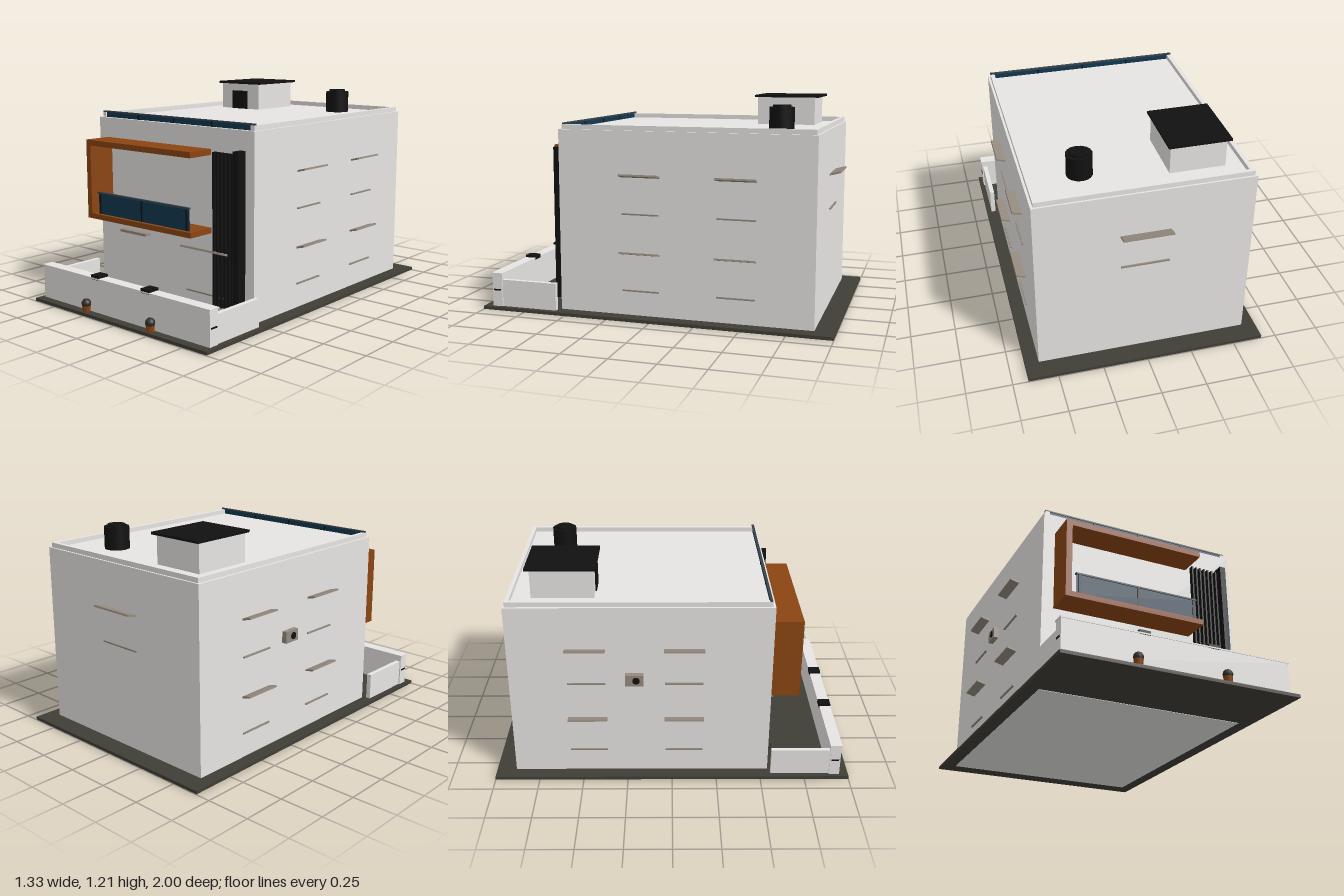
import * as THREE from 'three';

const mat = (name, color) => {
  const m = new THREE.MeshStandardMaterial({ color });
  m.name = name;
  return m;
};

export function createModel() {
  const wall = mat('wall plaster', 0xe6e5e3);
  const ground = mat('dark paving', 0x3f3e36);
  const wood = mat('wood', 0x8b4513);
  const black = mat('black metal', 0x111111);
  const glass = mat('blue glass', 0x12384f);
  const rail = mat('rail grey', 0x38434c);
  const stone = mat('stone trim', 0x958a7e);
  const leaf = mat('leaves', 0x2b2f28);

  const model = new THREE.Group();
  model.name = 'house';

  // Box given by its limits on each axis
  const box = (name, m, x0, x1, y0, y1, z0, z1, parent = model) => {
    const mesh = new THREE.Mesh(new THREE.BoxGeometry(x1 - x0, y1 - y0, z1 - z0), m);
    mesh.position.set((x0 + x1) / 2, (y0 + y1) / 2, (z0 + z1) / 2);
    mesh.name = name;
    parent.add(mesh);
    return mesh;
  };
  const cylinder = (name, m, rTop, rBottom, y0, y1, x, z, sides) => {
    const g = new THREE.CylinderGeometry(rTop, rBottom, y1 - y0, sides);
    const mesh = new THREE.Mesh(g, m);
    mesh.position.set(x, (y0 + y1) / 2, z);
    mesh.name = name;
    model.add(mesh);
  };

  // Plot and main block
  box('plot', ground, -0.665, 0.665, 0.002, 0.02, -1, 1);
  box('mainBlock', wall, -0.588, 0.588, 0, 1.04, -0.89, 0.545);

  // Roof parapet on the back and sides
  for (const s of [-1, 1]) {
    const a = s * 0.55, b = s * 0.575;
    box('sideParapet', wall, Math.min(a, b), Math.max(a, b), 1.04, 1.067, -0.88, 0.53);
  }
  box('backParapet', wall, -0.55, 0.55, 1.04, 1.067, -0.88, -0.858);

  // Roof glass railing along the front edge
  box('roofGlass', glass, -0.55, 0.55, 1.04, 1.068, 0.517, 0.523);
  box('roofRail', rail, -0.575, 0.575, 1.068, 1.076, 0.513, 0.527);
  for (const x of [-0.28, 0, 0.28]) box('roofPost', black, x - 0.005, x + 0.005, 1.04, 1.068, 0.515, 0.527);

  // Stair house on the roof
  box('stairHouse', wall, -0.46, -0.157, 1.04, 1.2, -0.755, -0.415);
  box('stairRoof', black, -0.478, -0.14, 1.2, 1.213, -0.78, -0.4);
  box('stairDoor', black, -0.37, -0.25, 1.04, 1.155, -0.415, -0.407);

  // Water tank
  cylinder('waterTank', black, 0.07, 0.07, 1.04, 1.165, 0.29, -0.645, 16);
  cylinder('tankLid', black, 0.05, 0.05, 1.165, 1.177, 0.29, -0.645, 16);

  // C-shaped wooden balcony frame
  const frame = new THREE.Shape([
    [-0.522, 0.468], [0.293, 0.468], [0.293, 0.498], [-0.488, 0.498],
    [-0.488, 0.893], [0.293, 0.893], [0.293, 0.925], [-0.522, 0.925],
  ].map(([x, y]) => new THREE.Vector2(x, y)));
  const frameMesh = new THREE.Mesh(new THREE.ExtrudeGeometry(frame, { depth: 0.165, bevelEnabled: false }), wood);
  frameMesh.position.z = 0.545;
  frameMesh.name = 'balconyFrame';
  model.add(frameMesh);

  // Balcony railing
  box('balconyGlass', glass, -0.45, 0.262, 0.498, 0.616, 0.682, 0.688);
  box('balconyRail', rail, -0.457, 0.265, 0.616, 0.625, 0.678, 0.693);
  for (const x of [-0.436, -0.095, 0.245]) box('balconyPost', black, x - 0.005, x + 0.005, 0.498, 0.616, 0.68, 0.692);

  // Vertical fins and the thick end fin
  for (let i = 0; i < 7; i++) {
    const x = 0.328 + i * 0.0258;
    box('fin', black, x - 0.005, x + 0.005, 0.07, 0.914, 0.545, 0.572);
  }
  box('endFin', black, 0.494, 0.529, 0.07, 0.935, 0.545, 0.605);

  // Window awning (rising outwards) on the wall facing the given angle
  const awning = (x, y, z, angle, length, depth) => {
    const g = new THREE.Group();
    g.name = 'awning';
    const slab = new THREE.Mesh(new THREE.BoxGeometry(length, 0.01, depth), stone);
    slab.position.z = depth / 2 - 0.004;
    slab.name = 'awningSlab';
    const tilt = new THREE.Group();
    tilt.rotation.x = -0.25;
    tilt.add(slab);
    g.add(tilt);
    g.position.set(x, y, z);
    g.rotation.y = angle;
    model.add(g);
  };
  for (const s of [-1, 1]) {
    for (const z of [0.067, -0.467]) {
      for (const y of [0.365, 0.792]) {
        awning(s * 0.588, y, z, s * Math.PI / 2, 0.218, 0.057);
        const a = s * 0.588, b = s * 0.597;
        box('sill', stone, Math.min(a, b), Math.max(a, b), y - 0.21, y - 0.202, z - 0.105, z + 0.105);
      }
    }
  }
  awning(0, 0.786, -0.89, Math.PI, 0.27, 0.066);
  box('backSill', stone, -0.132, 0.132, 0.588, 0.596, -0.9, -0.89);
  awning(0.267, 0.366, 0.545, 0, 0.325, 0.057);
  box('frontSill', stone, 0.112, 0.422, 0.118, 0.126, 0.545, 0.556);

  // Entrance canopy and step
  box('doorCanopy', stone, -0.39, -0.178, 0.382, 0.397, 0.545, 0.585);
  box('doorStep', ground, -0.39, -0.178, 0.02, 0.055, 0.545, 0.59);

  // Air conditioner on the right wall
  box('airConditioner', stone, -0.617, -0.588, 0.585, 0.65, -0.255, -0.155);
  const fan = new THREE.Mesh(new THREE.CylinderGeometry(0.02, 0.02, 0.005, 16), black);
  fan.rotation.z = Math.PI / 2;
  fan.position.set(-0.618, 0.618, -0.195);
  fan.name = 'fan';
  model.add(fan);

  // Garden walls
  box('frontWall', wall, -0.642, 0.642, 0.003, 0.207, 0.89, 0.95);
  box('frontWallCap', wall, -0.647, 0.647, 0.207, 0.215, 0.887, 0.953);
  for (const s of [-1, 1]) {
    const a = s * 0.608, b = s * 0.635;
    box('sideWall', wall, Math.min(a, b), Math.max(a, b), 0.003, 0.175, 0.56, 0.89);

    // Lamp box on the wall and bracket on its end
    const x = s === 1 ? 0.194 : -0.199;
    box('wallLamp', black, x - 0.031, x + 0.031, 0.205, 0.229, 0.884, 0.952);
    const c = s * 0.638, d = s * 0.646;
    box('wallBracket', black, Math.min(c, d), Math.max(c, d), 0.112, 0.12, 0.9, 0.942);

    // Potted plant
    cylinder('pot', wood, 0.025, 0.02, 0.02, 0.055, s * 0.25, 0.972, 12);
    const bush = new THREE.Mesh(new THREE.IcosahedronGeometry(0.027, 1), leaf);
    bush.position.set(s * 0.25, 0.068, 0.972);
    bush.name = 'bush';
    model.add(bush);
  }
  return model;
}
